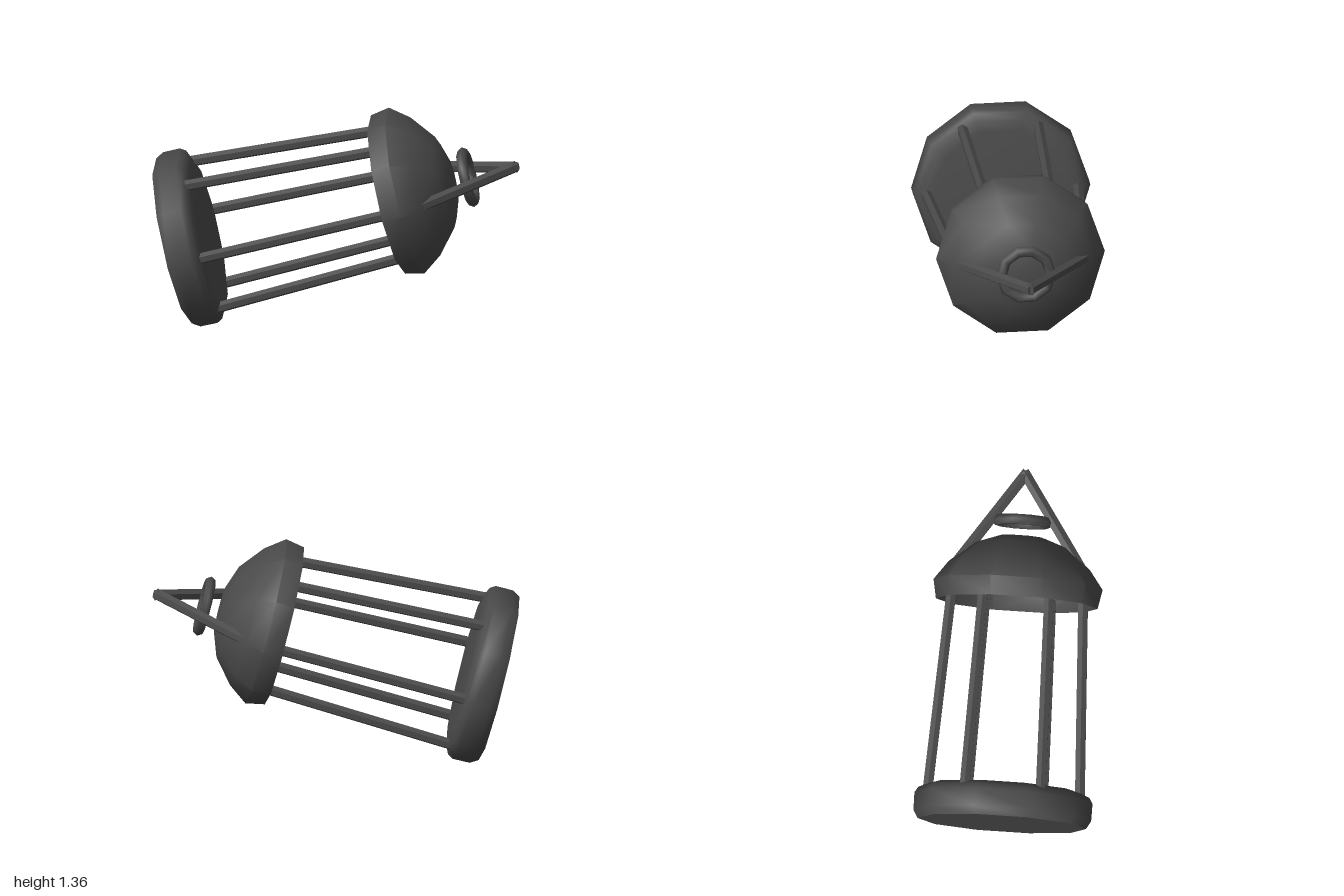
import * as THREE from 'three';
import { toCreasedNormals } from 'three/addons/utils/BufferGeometryUtils.js';

const UP = new THREE.Vector3(0, 1, 0);

export function createModel() {
  const darkMetal = new THREE.MeshStandardMaterial({ color: 0x4a4a4a, side: THREE.DoubleSide });
  darkMetal.name = 'darkMetal';
  const model = new THREE.Group();
  model.name = 'lantern';

  function add(name, geometry) {
    const mesh = new THREE.Mesh(geometry, darkMetal);
    mesh.name = name;
    model.add(mesh);
    return mesh;
  }

  // ten-sided turned part, with a flat side towards local +z
  function turned(name, profile) {
    const points = profile.map(([r, y]) => new THREE.Vector2(r, y));
    return add(name, toCreasedNormals(new THREE.LatheGeometry(points, 10, Math.PI / 10), 0.8));
  }

  // six-sided bar between two points
  function bar(name, from, to, radius) {
    const dir = to.clone().sub(from);
    const geometry = new THREE.CylinderGeometry(radius, radius, dir.length(), 6);
    const mesh = add(name, toCreasedNormals(geometry, 0.5));
    mesh.position.copy(from).add(to).multiplyScalar(0.5);
    mesh.quaternion.setFromUnitVectors(UP, dir.normalize());
    return mesh;
  }

  // base plate with rounded upper edge
  turned('base', [
    [0, -0.11], [0.525, -0.11], [0.555, -0.06], [0.556, 0.05],
    [0.535, 0.085], [0.485, 0.108], [0.42, 0.115], [0, 0.115],
  ]);

  // open dome with a flared lip
  turned('dome', [
    [0.505, 1.27], [0.528, 1.39], [0.44, 1.51],
    [0.29, 1.635], [0.15, 1.685], [0, 1.695],
  ]);

  // six posts leaning slightly inwards
  for (let i = 0; i < 6; i++) {
    const a = (i * Math.PI) / 3;
    const at = (r, y) => new THREE.Vector3(r * Math.cos(a), y, r * Math.sin(a));
    bar('post', at(0.475, 0.08), at(0.41, 1.34), 0.035);
  }

  // ring above the dome
  const ring = add('topRing', new THREE.TorusGeometry(0.155, 0.035, 6, 10));
  ring.rotation.x = Math.PI / 2;
  ring.position.y = 1.785;

  // pointed handle whose arms run into the dome
  for (const side of [-1, 1]) {
    bar('handleArm', new THREE.Vector3(-side * 0.01, 2.095, 0), new THREE.Vector3(side * 0.47, 1.39, 0), 0.037);
  }

  // lay the lantern over: local y runs along its long axis
  const axis = new THREE.Vector3(0.622, 0.247, -0.743).normalize();
  const across = new THREE.Vector3(-axis.z, 0, axis.x).normalize();
  const third = across.clone().cross(axis);
  model.quaternion.setFromRotationMatrix(new THREE.Matrix4().makeBasis(across, axis, third));
  model.position.set(-0.43, 0.535, 0.58);

  const root = new THREE.Group();
  root.name = 'tiltedLantern';
  root.add(model);
  return root;
}
